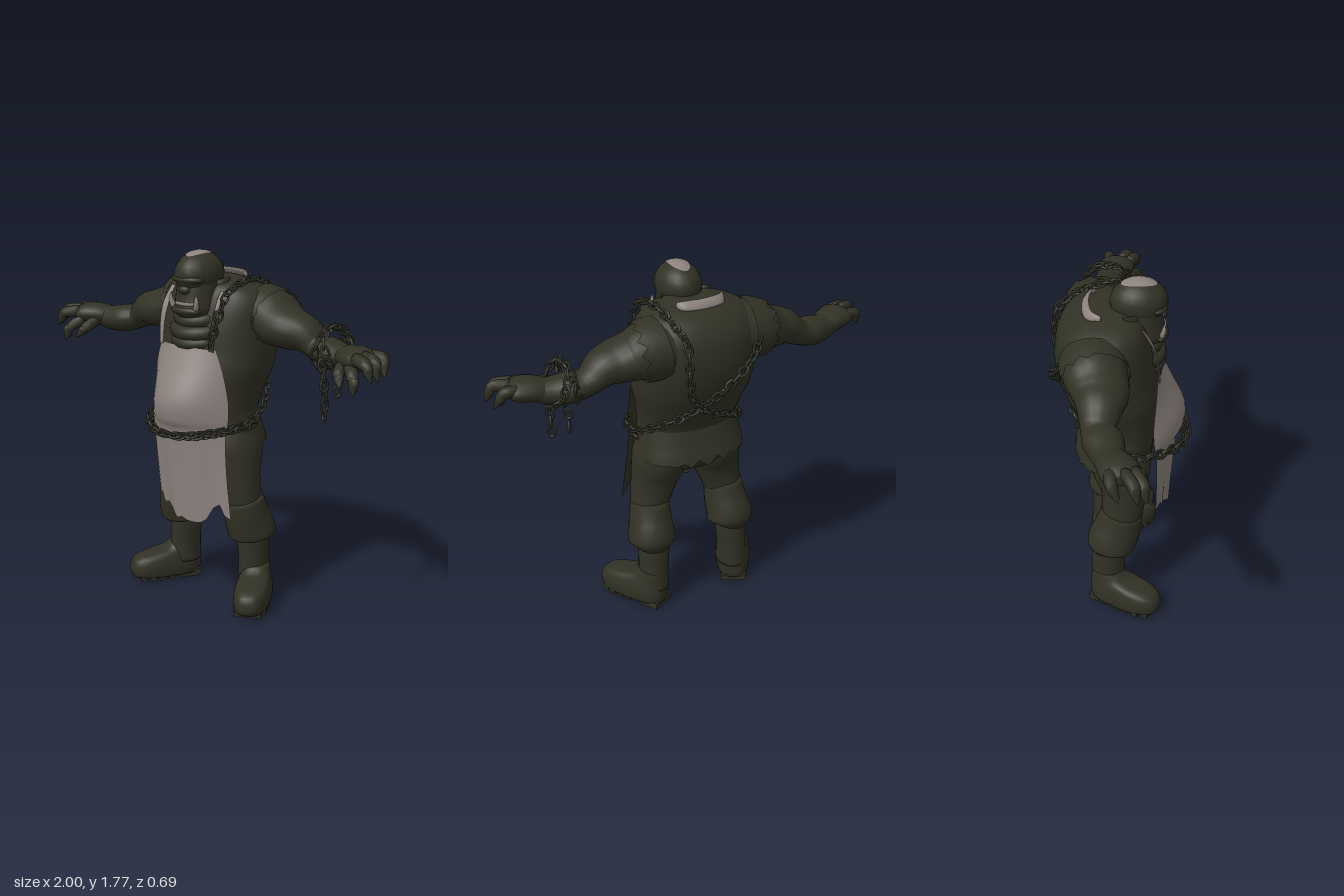
import * as THREE from 'three';
import { mergeGeometries } from 'three/addons/utils/BufferGeometryUtils.js';

const V = (x, y, z) => new THREE.Vector3(x, y, z);
const mat = (name, color, side = THREE.FrontSide) =>
  Object.assign(new THREE.MeshStandardMaterial({ color, side }), { name });

// Smoothly resample rows of numbers
function smooth(rows, n) {
  const out = [];
  for (let i = 0; i <= n; i++) {
    const t = (i / n) * (rows.length - 1);
    const k = Math.min(Math.floor(t), rows.length - 2), f = t - k;
    const at = j => rows[Math.max(0, Math.min(rows.length - 1, j))];
    out.push(rows[0].map((_, c) => {
      const a = at(k - 1)[c], b = at(k)[c], d = at(k + 1)[c], e = at(k + 2)[c];
      return b + 0.5 * f * (d - a + f * (2 * a - 5 * b + 4 * d - e + f * (3 * (b - d) + e - a)));
    }));
  }
  return out;
}

// Skin a list of closed rings, with optional end caps
function loft(rings, capped = true) {
  const pos = [], idx = [], n = rings[0].length, m = rings.length;
  rings.forEach(r => r.forEach(p => pos.push(p.x, p.y, p.z)));
  for (let j = 0; j < m - 1; j++) for (let i = 0; i < n; i++) {
    const a = j * n + i, b = j * n + (i + 1) % n;
    idx.push(a, a + n, b, b, a + n, b + n);
  }
  if (capped) [0, m - 1].forEach((j, e) => {
    const c = V(0, 0, 0);
    rings[j].forEach(p => c.addScaledVector(p, 1 / n));
    pos.push(c.x, c.y, c.z);
    for (let i = 0; i < n; i++) {
      const a = j * n + i, b = j * n + (i + 1) % n;
      idx.push(m * n + e, ...(e ? [b, a] : [a, b]));
    }
  });
  const g = new THREE.BufferGeometry();
  g.setAttribute('position', new THREE.Float32BufferAttribute(pos, 3));
  g.setIndex(idx);
  g.computeVertexNormals();
  return g;
}

// Upright body: rows of [y, half width, front z, back z]; rag tears the lowest ring
const sp = (v, n) => Math.sign(v) * Math.abs(v) ** (2 / n);
function body(rows, { steps = 24, seg = 32, n = 2.3, rag = 0, capped = true } = {}) {
  return loft(smooth(rows, steps).map(([y, w, zf, zb], j) => Array.from({ length: seg }, (_, i) => {
    const a = i / seg * Math.PI * 2;
    const tear = j === 0 ? rag * (i % 2 + 0.5 * Math.sin(i * 2.7)) : 0;
    return V(w * sp(Math.cos(a), n), y - tear, (zf + zb) / 2 + (zf - zb) / 2 * sp(Math.sin(a), n));
  })), capped);
}

// Limb: rows of [x, y, z, radius along up, radius across]; rag tears the last ring
function limb(rows, { up = V(0, 1, 0), steps = 14, seg = 14, rag = 0, capped = true } = {}) {
  const list = smooth(rows, steps), P = list.map(r => V(r[0], r[1], r[2]));
  return loft(list.map((r, j) => {
    const d = P[Math.min(j + 1, steps)].clone().sub(P[Math.max(j - 1, 0)]).normalize();
    const N = up.clone().addScaledVector(d, -up.dot(d)).normalize(), B = N.clone().cross(d);
    return Array.from({ length: seg }, (_, i) => {
      const a = i / seg * Math.PI * 2;
      const tear = j === steps ? rag * (i % 2 + 0.5 * Math.sin(i * 2.7)) : 0;
      return P[j].clone().addScaledVector(N, Math.cos(a) * r[3])
        .addScaledVector(B, Math.sin(a) * r[4]).addScaledVector(d, tear);
    });
  }), capped);
}

// Chain of alternating oval links along a curve
function chain(points, closed = false) {
  const curve = new THREE.CatmullRomCurve3(points.map(p => V(...p)), closed);
  const n = Math.round(curve.getLength() / 0.042), links = [];
  for (let i = 0; i < n; i++) {
    const t = closed ? i / n : i / Math.max(1, n - 1);
    const q = new THREE.Quaternion().setFromUnitVectors(V(1, 0, 0), curve.getTangentAt(t));
    links.push(new THREE.TorusGeometry(0.02, 0.0065, 5, 10).scale(1.4, 0.9, 1)
      .rotateX(i % 2 ? 0.6 : 0.6 + Math.PI / 2).applyQuaternion(q).translate(...curve.getPointAt(t).toArray()));
  }
  return mergeGeometries(links);
}

const ball = (x, y, z, rx, ry, rz) => new THREE.SphereGeometry(1, 20, 14).scale(rx, ry, rz).translate(x, y, z);

export function createModel() {
  const root = new THREE.Group();
  const olive = mat('olive', 0x313125), cloth = mat('olive cloth', 0x313125, THREE.DoubleSide);
  const lining = mat('olive lining', 0x313125, THREE.BackSide);
  const pale = mat('pale apron', 0x8c827e), iron = mat('dark iron', 0x303026);
  const add = (parent, name, geo, m = olive) => {
    const mesh = new THREE.Mesh(geo, m);
    mesh.name = name;
    parent.add(mesh);
  };

  // Hunched torso and torn shirt hem
  add(root, 'torso', body([[0.76, 0.17, 0.1, -0.13], [0.84, 0.24, 0.14, -0.18], [0.93, 0.25, 0.17, -0.18],
    [1.0, 0.25, 0.19, -0.175], [1.1, 0.265, 0.2, -0.225], [1.2, 0.292, 0.2, -0.27], [1.3, 0.3, 0.18, -0.3],
    [1.4, 0.305, 0.165, -0.31], [1.5, 0.305, 0.14, -0.295], [1.57, 0.27, 0.115, -0.25], [1.61, 0.2, 0.085, -0.19],
    [1.635, 0.1, 0.04, -0.12]], { steps: 36, seg: 40 }));
  add(root, 'shirtHem', body([[0.85, 0.275, 0.16, -0.225], [0.92, 0.262, 0.17, -0.2], [1.0, 0.252, 0.19, -0.178]],
    { steps: 6, seg: 44, rag: 0.025, capped: false }), cloth);

  // Head, jaw and face
  const head = new THREE.Group();
  head.name = 'head';
  root.add(head);
  add(head, 'skull', ball(0, 1.655, 0.085, 0.108, 0.107, 0.135));
  add(head, 'jaw', body([[1.41, 0.06, 0.14, -0.08], [1.45, 0.09, 0.19, -0.08], [1.49, 0.106, 0.218, -0.07],
    [1.54, 0.106, 0.205, -0.06], [1.6, 0.102, 0.195, -0.045], [1.66, 0.098, 0.18, -0.03]], { steps: 14 }));
  add(head, 'brow', ball(0, 1.637, 0.165, 0.092, 0.026, 0.056));
  add(head, 'nose', ball(0, 1.588, 0.193, 0.034, 0.022, 0.024));
  add(head, 'lowerLip', ball(0, 1.49, 0.185, 0.088, 0.025, 0.04));
  add(head, 'teeth', body([[1.516, 0.07, 0.216, 0.1], [1.532, 0.07, 0.214, 0.1]], { steps: 2 }), pale);
  const scalp = [1, 0.75, 0.5, 0.25, 0.01].map(r => Array.from({ length: 20 }, (_, i) => {
    const a = i / 20 * Math.PI * 2, x = 0.048 * r * Math.cos(a), z = 0.085 * r * Math.sin(a);
    return V(x, 1.659 + 0.107 * Math.sqrt(1 - (x / 0.108) ** 2 - (z / 0.135) ** 2), z + 0.085);
  }));
  add(head, 'scalpPatch', loft(scalp, false), pale);
  for (const s of [-1, 1]) {
    add(head, 'tusk', limb([[0.068 * s, 1.5, 0.19, 0.014, 0.014], [0.08 * s, 1.54, 0.2, 0.011, 0.011],
      [0.076 * s, 1.575, 0.2, 0.001, 0.001]], { up: V(1, 0, 0), steps: 6, seg: 8 }), pale);
    add(head, 'ear', limb([[0.09 * s, 1.6, 0.07, 0.03, 0.015], [0.115 * s, 1.615, 0.045, 0.022, 0.012],
      [0.128 * s, 1.64, 0.01, 0.002, 0.002]], { steps: 6, seg: 8 }));
  }
  // Neck folds
  for (const [y, r, t, z] of [[1.455, 0.11, 0.034, 0.06], [1.4, 0.13, 0.036, 0.055], [1.35, 0.125, 0.032, 0.06]])
    add(root, 'neckFold', new THREE.TorusGeometry(r, t, 10, 28).rotateX(Math.PI / 2 + 0.15).translate(0, y, z));

  // Apron sheet over the belly with a torn hem, dark on the inside
  const sheet = smooth([[1.32, -0.17, 0.175, 0.2, 0.172], [1.22, -0.205, 0.21, 0.25, 0.165], [1.08, -0.23, 0.237, 0.315, 0.155],
    [0.98, -0.24, 0.242, 0.31, 0.16], [0.91, -0.23, 0.235, 0.28, 0.17], [0.72, -0.205, 0.25, 0.262, 0.175],
    [0.5, -0.18, 0.28, 0.245, 0.175]], 24);
  const apron = new THREE.PlaneGeometry(1, 1, 16, 24), ap = apron.attributes.position;
  const hem = [0.03, 0.06, 0.01, 0.02, 0, -0.02, -0.035, -0.025, -0.04, -0.04, -0.035, -0.03, -0.01, 0.05, 0.07, 0.02, 0];
  sheet.forEach(([y, l, r, zc, ze], j) => hem.forEach((h, i) => {
    const u = i / 8 - 1, drop = Math.max(0, (j - 21) / 3);
    const fold = j > 14 ? 0.008 * Math.sin(i * 1.3) * (j - 14) / 10 : 0;
    ap.setXYZ(j * 17 + i, l + (r - l) * i / 16, y + h * drop, ze + (zc - ze) * (1 - u * u) + fold);
  }));
  apron.computeVertexNormals();
  add(root, 'apron', apron, pale);
  add(root, 'apronLining', apron, lining);
  // Straps: full on the right, mostly hidden under a dark strap on the left, and a band behind the neck
  const strap = { up: V(1, 0, 0), seg: 8 };
  add(root, 'rightStrap', limb([[-0.16, 1.31, 0.182, 0.012, 0.004], [-0.163, 1.42, 0.17, 0.016, 0.004],
    [-0.16, 1.51, 0.145, 0.019, 0.004], [-0.152, 1.585, 0.1, 0.012, 0.003]], strap), pale);
  add(root, 'leftStrap', limb([[0.15, 1.31, 0.182, 0.018, 0.004], [0.157, 1.42, 0.17, 0.018, 0.004],
    [0.16, 1.5, 0.147, 0.018, 0.004]], strap), cloth);
  add(root, 'leftStrapTop', limb([[0.16, 1.5, 0.147, 0.016, 0.004], [0.16, 1.545, 0.13, 0.015, 0.004],
    [0.153, 1.585, 0.1, 0.01, 0.003]], strap), pale);
  add(root, 'neckStrap', limb([[-0.135, 1.638, -0.09, 0.012, 0.006], [-0.1, 1.638, -0.145, 0.024, 0.008],
    [0, 1.638, -0.162, 0.026, 0.008], [0.09, 1.638, -0.147, 0.024, 0.008], [0.115, 1.638, -0.115, 0.012, 0.006]],
    { up: V(0, 0.75, 0.66), seg: 8 }), pale);

  // One side: arm, hand, leg and boot
  const side = new THREE.Group();
  side.name = 'leftLimbs';
  add(side, 'arm', limb([[0.12, 1.45, -0.12, 0.13, 0.14], [0.27, 1.45, -0.12, 0.14, 0.15], [0.35, 1.43, -0.1, 0.112, 0.14],
    [0.42, 1.415, -0.09, 0.098, 0.128], [0.49, 1.4, -0.095, 0.086, 0.105], [0.57, 1.35, -0.1, 0.062, 0.08],
    [0.64, 1.336, -0.08, 0.071, 0.092], [0.72, 1.328, -0.06, 0.064, 0.078], [0.79, 1.335, -0.045, 0.054, 0.064]],
    { steps: 30, seg: 20 }));
  add(side, 'tornSleeve', limb([[0.22, 1.455, -0.12, 0.15, 0.165], [0.27, 1.45, -0.12, 0.148, 0.16],
    [0.305, 1.445, -0.115, 0.14, 0.158]], { steps: 4, seg: 26, rag: 0.02, capped: false }), cloth);
  add(side, 'palm', limb([[0.74, 1.33, -0.06, 0.05, 0.062], [0.8, 1.345, -0.035, 0.056, 0.082],
    [0.87, 1.348, -0.005, 0.052, 0.09], [0.92, 1.35, 0.01, 0.025, 0.065]], { seg: 16 }));
  const fingers = [[[0.87, 1.36, 0.05], [0.945, 1.35, 0.085], [0.985, 1.28, 0.1]],
    [[0.89, 1.365, 0.01], [0.965, 1.36, 0.045], [0.998, 1.28, 0.065]],
    [[0.88, 1.36, -0.05], [0.945, 1.36, -0.05], [0.985, 1.28, -0.015]],
    [[0.84, 1.32, 0.05], [0.895, 1.28, 0.1], [0.91, 1.21, 0.125]],
    [[0.78, 1.32, 0.01], [0.8, 1.285, 0.075], [0.835, 1.235, 0.115]]];
  for (const [a, b, c] of fingers) {
    const mid = b.map((v, i) => v * 0.5 + c[i] * 0.5);
    add(side, 'clawedFinger', limb([[...a, 0.03, 0.028], [...b, 0.028, 0.027], [...mid, 0.021, 0.02],
      [...c, 0.002, 0.002]], { up: V(-0.5, 1, -0.8), steps: 10, seg: 10 }));
  }
  const legUp = { up: V(1, 0, 0), seg: 22 };
  add(side, 'thigh', limb([[0.235, 0.4, -0.03, 0.09, 0.09], [0.212, 0.54, 0.005, 0.095, 0.1], [0.178, 0.68, 0.015, 0.12, 0.115],
    [0.152, 0.8, 0.002, 0.138, 0.146], [0.13, 0.92, -0.01, 0.12, 0.14]], { ...legUp, steps: 18 }));
  add(side, 'trouserCuff', limb([[0.228, 0.35, -0.05, 0.08, 0.09], [0.228, 0.36, -0.05, 0.117, 0.12], [0.226, 0.4, -0.04, 0.115, 0.125],
    [0.218, 0.47, -0.015, 0.107, 0.118], [0.212, 0.56, 0.005, 0.096, 0.104]], { ...legUp, steps: 12 }));
  add(side, 'bootShaft', limb([[0.23, 0.1, -0.065, 0.076, 0.09], [0.23, 0.2, -0.065, 0.073, 0.085],
    [0.226, 0.3, -0.063, 0.078, 0.085], [0.226, 0.4, -0.055, 0.08, 0.085]], legUp));
  const boot = new THREE.Group();
  boot.name = 'boot';
  boot.position.set(0.248, 0, -0.065);
  boot.rotation.y = 0.5;
  side.add(boot);
  add(boot, 'foot', body([[0.025, 0.084, 0.28, -0.085], [0.05, 0.09, 0.292, -0.09], [0.09, 0.09, 0.29, -0.09],
    [0.125, 0.083, 0.265, -0.088], [0.148, 0.075, 0.19, -0.085], [0.165, 0.07, 0.11, -0.082], [0.2, 0.062, 0.07, -0.08]],
    { steps: 18, n: 2.6 }));
  add(boot, 'heel', new THREE.BoxGeometry(0.13, 0.035, 0.11).translate(0, 0.0175, -0.025));
  for (let i = 0; i < 4; i++) for (const s of [-1, 1])
    add(boot, 'soleLug', new THREE.BoxGeometry(0.06, 0.03, 0.03)
      .translate(s * (i === 3 ? 0.035 : 0.05), 0.022, 0.09 + i * 0.05));
  root.add(side);
  const mirrored = side.clone();
  mirrored.name = 'rightLimbs';
  mirrored.scale.x = -1;
  root.add(mirrored);

  // Long chain: left shoulder, down the back, round the belly, up the back to the right shoulder
  add(root, 'bodyChain', chain([[0.16, 1.36, 0.19], [0.19, 1.48, 0.17], [0.2, 1.58, 0.12], [0.2, 1.63, -0.05],
    [0.18, 1.59, -0.2], [0.16, 1.52, -0.295], [0.155, 1.38, -0.315], [0.12, 1.23, -0.285], [0.03, 1.13, -0.25],
    [-0.1, 1.07, -0.215], [-0.22, 1.0, -0.13], [-0.275, 0.96, 0.03], [-0.245, 0.945, 0.17], [-0.13, 0.925, 0.295],
    [0, 0.915, 0.335], [0.13, 0.925, 0.295], [0.245, 0.945, 0.17], [0.28, 0.97, 0.02], [0.235, 1.05, -0.14],
    [0.15, 1.12, -0.235], [0.03, 1.2, -0.285], [-0.09, 1.3, -0.315], [-0.19, 1.4, -0.305], [-0.27, 1.49, -0.24],
    [-0.29, 1.53, -0.19]]), iron);
  add(root, 'beltChain', chain([[-0.27, 0.94, 0.02], [-0.25, 0.935, 0.16], [-0.14, 0.915, 0.285], [0, 0.905, 0.315],
    [0.14, 0.915, 0.285], [0.25, 0.935, 0.16], [0.275, 0.94, 0.02]]), iron);

  // Shackle chain on the left forearm with two hanging ends
  for (const [x, tilt] of [[0.65, 0.02], [0.705, -0.04]])
    add(root, 'wristChain', chain(Array.from({ length: 10 }, (_, i) => {
      const a = i / 10 * Math.PI * 2;
      return [x + tilt * Math.cos(a), 1.365 + 0.095 * Math.cos(a), -0.065 + 0.11 * Math.sin(a)];
    }), true), iron);
  add(root, 'hangingChain', chain([[0.68, 1.3, 0.03], [0.7, 1.2, 0.035], [0.7, 1.07, 0.03]]), iron);
  add(root, 'hangingChain', chain([[0.69, 1.29, -0.11], [0.67, 1.22, -0.11], [0.67, 1.15, -0.11]]), iron);
  return root;
}
